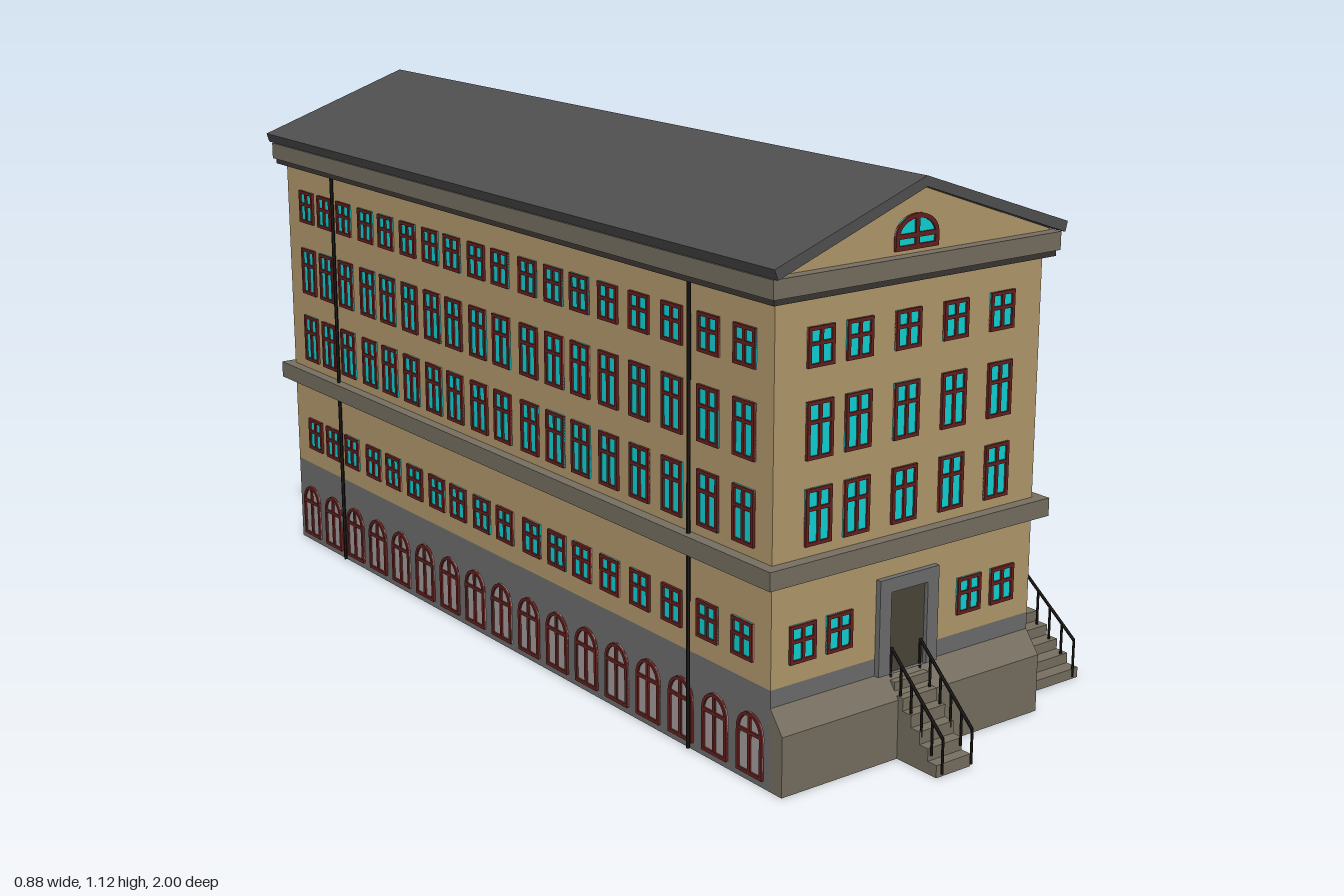
import * as THREE from 'three';

const mat = (color, side = THREE.FrontSide) => new THREE.MeshStandardMaterial({ color, side, flatShading: true });
const M = {
  wall: mat(0xb39a6c), base: mat(0x6f6e6e), stone: mat(0x777061), roof: mat(0x4f4f50), soffit: mat(0x3a3632),
  frame: mat(0x64211f), glass: mat(0x10d4d8), cellar: mat(0xa59c9c), door: mat(0x4b4638), iron: mat(0x1c1a18),
};
// Main wall limits
const X0 = -0.415, X1 = 0.245, Z0 = -0.96, Z1 = 0.845, CX = (X0 + X1) / 2;

export function createModel() {
  const root = new THREE.Group();
  const add = (name, geo, material, parent = root) => {
    const m = new THREE.Mesh(geo, material);
    m.name = name;
    parent.add(m);
    return m;
  };
  const box = (name, material, x0, x1, y0, y1, z0, z1) => {
    const m = add(name, new THREE.BoxGeometry(x1 - x0, y1 - y0, z1 - z0), material);
    m.position.set((x0 + x1) / 2, (y0 + y1) / 2, (z0 + z1) / 2);
    return m;
  };
  const poly = (pts) => new THREE.Shape(pts.map(([x, y]) => new THREE.Vector2(x, y)));
  const extrude = (shape, depth) => new THREE.ExtrudeGeometry(shape, { depth, bevelEnabled: false, curveSegments: 6 });
  const bar = (name, a, b, r, parent = root) => {
    const p = new THREE.Vector3(...a), q = new THREE.Vector3(...b);
    const m = add(name, new THREE.CylinderGeometry(r, r, p.distanceTo(q), 6), M.iron, parent);
    m.position.copy(p).add(q).multiplyScalar(0.5);
    m.quaternion.setFromUnitVectors(new THREE.Vector3(0, 1, 0), q.sub(p).normalize());
  };

  // Walls, base and mouldings
  box('basement', M.base, X0, X1, 0, 0.2, Z0, Z1);
  box('walls', M.wall, X0, X1, 0.2, 0.95, Z0, Z1);
  const band = (name, m, y0, y1, o) => box(name, m, X0 - o, X1 + o, y0, y1, Z0 - o, Z1 + o);
  band('beltCourse', M.stone, 0.403, 0.44, 0.024);
  band('corniceSoffit', M.soffit, 0.924, 0.936, 0.018);
  band('cornice', M.stone, 0.936, 0.972, 0.024);

  // Gable body, grey rear gable and pitched roof
  const gable = poly([[CX - 0.345, 0.97], [CX + 0.345, 0.97], [CX + 0.345, 0.981], [CX, 1.1], [CX - 0.345, 0.981]]);
  add('frontGable', extrude(gable, Z1 - Z0), M.wall).position.z = Z0;
  add('rearGable', extrude(gable, 0.02), M.roof).position.z = Z0 - 0.02;
  const roof = extrude(poly([[CX - 0.353, 0.973], [CX, 1.097], [CX + 0.353, 0.973], [CX + 0.36, 0.993],
    [CX, 1.117], [CX - 0.36, 0.993]]), 1.88);
  roof.translate(0, 0, -1);
  const rp = roof.attributes.position;
  for (let i = 0; i < rp.count; i++) { // gable ends lean slightly inwards
    const z = rp.getZ(i);
    rp.setZ(i, z - Math.sign(z) * (rp.getY(i) - 0.973) * 0.07);
  }
  roof.computeVertexNormals();
  add('roof', roof, M.roof);

  // Window geometries: a frame with pane openings, and the glass behind it
  const rect = (x0, y0, x1, y1) => poly([[x0, y0], [x1, y0], [x1, y1], [x0, y1]]);
  const kind = (outline, holes, glass) => {
    outline.holes = holes;
    const solid = outline.clone();
    solid.holes = [];
    return { frame: extrude(outline, 0.008).translate(0, 0, -0.002), pane: extrude(solid, 0.004).translate(0, 0, -0.002), glass };
  };
  const sash = (h, split) => {
    const holes = [], w = 0.062, t = 0.007;
    for (const [y0, y1] of [[t, h * split - t / 2], [h * split + t / 2, h - t]]) {
      holes.push(rect(-w / 2 + t, y0, -t / 2, y1), rect(t / 2, y0, w / 2 - t, y1));
    }
    return kind(rect(-w / 2, 0, w / 2, h), holes, M.glass);
  };
  // Round-headed window: straight part of height s under an elliptical arch
  const arched = (w, s, rise, t, glass) => {
    const o = new THREE.Shape();
    o.moveTo(-w / 2, 0).lineTo(w / 2, 0).lineTo(w / 2, s);
    o.absellipse(0, s, w / 2, rise, 0, Math.PI, false);
    const holes = [];
    for (const k of [1, -1]) {
      const y = s + t / 2, pts = [[k * t / 2, y]];
      for (let i = 0; i <= 6; i++) {
        const a = i / 6 * Math.PI / 2;
        pts.push([k * Math.max(t / 2, Math.cos(a) * (w / 2 - t)), Math.max(y, s + Math.sin(a) * (rise - t))]);
      }
      holes.push(poly(pts), rect(k * t / 2, t, k * (w / 2 - t), s - t / 2));
    }
    return kind(o, holes, glass);
  };
  const small = sash(0.075, 0.58), tall = sash(0.109, 0.64);
  const cellar = arched(0.075, 0.085, 0.04, 0.007, M.cellar);
  const fan = arched(0.106, 0.026, 0.04, 0.009, M.glass);

  // Faces: map a position along the wall to a place and heading
  const faces = {
    front: (u) => [u, Z1, 0], back: (u) => [u, Z0, Math.PI],
    right: (u) => [X1, u, Math.PI / 2], left: (u) => [X0, u, -Math.PI / 2],
  };
  const windows = (face, list, y, k, name) => list.forEach((u) => {
    const g = new THREE.Group(), [x, z, turn] = faces[face](u);
    g.name = face + name;
    g.position.set(x, y, z);
    g.rotation.y = turn;
    add('frame', k.frame, M.frame, g);
    add('glass', k.pane, k.glass, g);
    root.add(g);
  });
  const row = (n, a, b) => Array.from({ length: n }, (_, i) => a + (b - a) * i / (n - 1));
  const sideCols = [0.765, 0.66, 0.55, 0.447, 0.346, 0.25, 0.16, 0.067, -0.035, -0.126, -0.222, -0.31, -0.405,
    -0.5, -0.59, -0.69, -0.78, -0.866];
  const cols = { front: [-0.31, -0.218, -0.1, 0.02, 0.14], back: row(5, 0.11, -0.24), right: sideCols, left: sideCols };
  const ground = { ...cols, front: [-0.342, -0.253, 0.078, 0.167], right: sideCols.filter((z) => z > 0.2 || z < -0.1) };
  for (const f of Object.keys(faces)) {
    windows(f, ground[f], 0.24, small, 'GroundWindow');
    windows(f, cols[f], 0.461, tall, 'FirstFloorWindow');
    windows(f, cols[f], 0.624, tall, 'SecondFloorWindow');
    windows(f, cols[f], 0.795, small, 'TopFloorWindow');
  }
  windows('right', row(4, -0.545, -0.88), 0.015, cellar, 'CellarWindow');
  windows('left', row(17, 0.79, -0.9), 0.015, cellar, 'CellarWindow');
  windows('back', row(7, 0.19, -0.36), 0.015, cellar, 'CellarWindow');
  windows('front', [-0.086], 0.98, fan, 'GableWindow');

  // Doors in stone surrounds
  const doorway = (face, u, w, d) => {
    const g = new THREE.Group(), [x, z, turn] = faces[face](u);
    g.name = face + 'Door';
    g.position.set(x, 0.165, z);
    g.rotation.y = turn;
    const s = rect(-w / 2, 0, w / 2, 0.193);
    s.holes = [rect(-d / 2, 0, d / 2, 0.165)];
    add('surround', extrude(s, 0.012), M.base, g);
    add('doorLeaf', extrude(rect(-d / 2, 0, d / 2, 0.165), 0.003), M.door, g);
    root.add(g);
  };
  doorway('front', -0.086, 0.15, 0.093);
  doorway('right', 0.063, 0.126, 0.09);

  // Front plinth with sloping top
  const plinth = extrude(poly([[0, 0], [-0.035, 0], [-0.035, 0.12], [0, 0.165]]), X1 - X0);
  const pm = add('frontPlinth', plinth, M.stone);
  pm.rotation.y = Math.PI / 2;
  pm.position.set(X0, 0, Z1);

  // Stepped solids: flight climbs towards -z
  const stairs = (name, x0, x1, zTop, zEnd, n) => {
    for (let i = 0; i < n; i++) {
      box(name, M.stone, x0, x1, 0, 0.165 * (n - i) / (n + 0.5), zTop, zTop + (zEnd - zTop) * (i + 1) / n);
    }
  };
  stairs('frontStep', -0.13, -0.042, Z1, 0.988, 6);
  box('terrace', M.stone, X1, 0.44, 0, 0.165, -0.5, 0.6);
  stairs('terraceStep', X1, 0.44, 0.6, 0.81, 7);

  // Railing: handrail from a to b with n + 1 posts going down by h
  const railing = (name, a, b, n, h) => {
    const g = new THREE.Group();
    g.name = name;
    root.add(g);
    bar('handrail', a, b, 0.0035, g);
    for (let i = 0; i <= n; i++) {
      const p = a.map((v, k) => v + (b[k] - v) * i / n);
      bar('post', p, [p[0], Math.max(0, p[1] - h), p[2]], 0.0028, g);
    }
  };
  for (const x of [-0.124, -0.049]) railing('frontStairRailing', [x, 0.215, 0.85], [x, 0.08, 0.997], 5, 0.07);
  railing('terraceRailing', [0.425, 0.24, 0.6], [0.425, 0.24, -0.44], 20, 0.076);
  railing('terraceEndRailing', [0.425, 0.24, -0.44], [0.25, 0.24, -0.44], 4, 0.076);
  railing('terraceStairRailing', [0.425, 0.24, 0.6], [0.425, 0.085, 0.81], 6, 0.08);

  // Drainpipes
  for (const z of [0.61, -0.08, -0.73]) bar('rightDrainpipe', [X1 + 0.008, 0.005, z], [X1 + 0.008, 0.93, z], 0.004);
  for (const z of [0.61, -0.73]) bar('leftDrainpipe', [X0 - 0.009, 0.005, z], [X0 - 0.009, 0.93, z], 0.004);
  return root;
}
